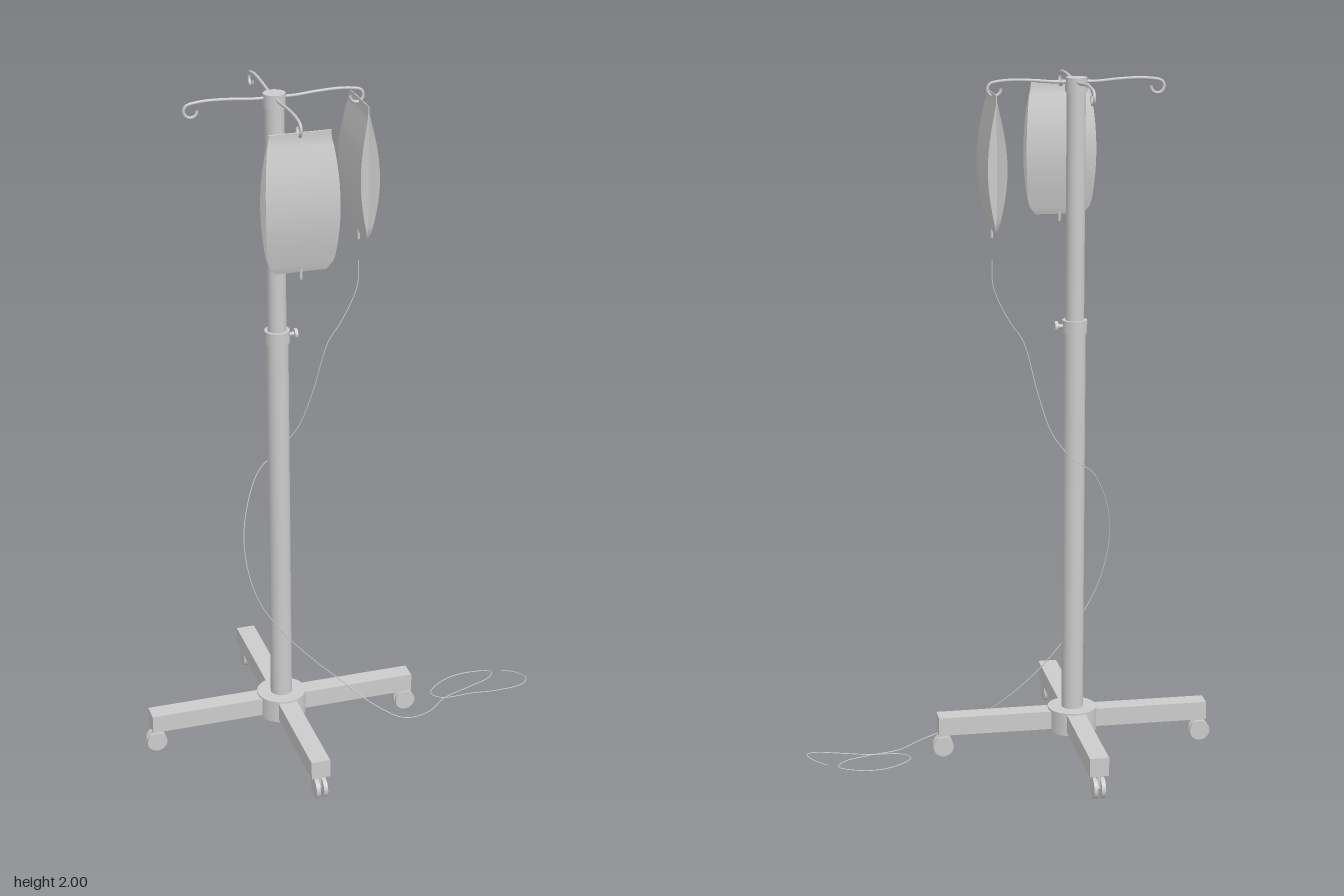
import * as THREE from 'three';
import { toCreasedNormals } from 'three/addons/utils/BufferGeometryUtils.js';

const POLE_X = -0.19;
const grey = new THREE.MeshStandardMaterial({ color: 0xcccccc });
const greyDouble = new THREE.MeshStandardMaterial({ color: 0xcccccc, side: THREE.DoubleSide });

function add(parent, name, geometry, x = 0, y = 0, z = 0, material = grey) {
  const mesh = new THREE.Mesh(geometry, material);
  mesh.name = name;
  mesh.position.set(x, y, z);
  parent.add(mesh);
  return mesh;
}

function column(parent, name, radius, y0, y1, segments = 32) {
  return add(parent, name, new THREE.CylinderGeometry(radius, radius, y1 - y0, segments), 0, (y0 + y1) / 2, 0);
}

function tube(points, segments, radius, sides) {
  const curve = new THREE.CatmullRomCurve3(points.map((p) => new THREE.Vector3(...p)), false, 'centripetal');
  return new THREE.TubeGeometry(curve, segments, radius, sides);
}

// Base leg running along +x with a twin-wheel caster at its end
function makeLeg() {
  const leg = new THREE.Group();
  leg.name = 'baseLeg';
  add(leg, 'legBeam', new THREE.BoxGeometry(0.385, 0.055, 0.056), 0.2125, 0.0975, 0);
  const caster = new THREE.Group();
  caster.name = 'caster';
  caster.position.set(0.39, 0.03, 0);
  leg.add(caster);
  add(caster, 'casterStem', new THREE.CylinderGeometry(0.007, 0.007, 0.045, 12), 0, 0.0225, 0);
  add(caster, 'casterAxle', new THREE.CylinderGeometry(0.006, 0.006, 0.03, 12)).rotation.x = Math.PI / 2;
  for (const side of [-1, 1]) {
    const wheel = new THREE.CylinderGeometry(0.03, 0.03, 0.012, 24).rotateX(Math.PI / 2);
    add(caster, 'casterWheel', wheel, 0, 0, side * 0.011);
  }
  return leg;
}

// Thin arm along +x that ends in a curl
function makeHook() {
  const points = [[0, 1.988, 0], [0.06, 1.988, 0], [0.12, 1.993, 0], [0.19, 1.995, 0]];
  for (let i = 0; i <= 10; i++) {
    const a = Math.PI * (0.45 - 0.148 * i);
    points.push([0.233 + 0.019 * Math.cos(a), 1.971 + 0.019 * Math.sin(a), 0]);
  }
  return tube(points, 72, 0.0045, 8);
}

// Bag lofted from six-sided sections: two panels with folded-in sides
function bagGeometry() {
  const top = 1.942, bottom = 1.578, steps = 20;
  const sections = [[1.965, 0, 0.086, 0.086], [1.964, 0.0015, 0.086, 0.086]]; // y, half depth, panel, seam
  for (let i = 0; i <= steps; i++) {
    const t = i / steps;
    const puff = Math.sin(Math.PI * t);
    const corner = 0.012 * Math.pow(Math.max(0, (t - 0.9) / 0.1), 2);
    sections.push([
      top + (bottom - top) * t,
      0.0015 + 0.026 * puff,
      0.087 + 0.016 * Math.pow(puff, 0.7) - corner,
      0.087 - corner,
    ]);
  }
  sections.push([1.574, 0, 0.07, 0.07]);
  const positions = [], index = [];
  sections.forEach(([y, d, w, n], k) => {
    positions.push(d, y, -w, d, y, w, 0, y, n, -d, y, w, -d, y, -w, 0, y, -n);
    if (k === 0) return;
    for (let j = 0; j < 6; j++) {
      const a = (k - 1) * 6 + j, b = (k - 1) * 6 + ((j + 1) % 6);
      index.push(a, b, a + 6, b, b + 6, a + 6);
    }
  });
  const geometry = new THREE.BufferGeometry();
  geometry.setAttribute('position', new THREE.Float32BufferAttribute(positions, 3));
  geometry.setIndex(index);
  return toCreasedNormals(geometry, 0.5);
}

function makeBag() {
  const bag = new THREE.Group();
  bag.name = 'fluidBag';
  bag.position.x = 0.24;
  add(bag, 'bagBody', bagGeometry(), 0, 0, 0, greyDouble);
  column(bag, 'bagPort', 0.004, 1.553, 1.582, 12);
  add(bag, 'hangingEyelet', new THREE.TorusGeometry(0.007, 0.0015, 6, 20), 0, 1.952, 0).rotation.y = Math.PI / 2;
  return bag;
}

export function createModel() {
  const model = new THREE.Group();
  model.name = 'dripStand';
  const stand = new THREE.Group();
  stand.name = 'stand';
  stand.position.x = POLE_X;
  model.add(stand);

  // Hub and telescopic pole
  column(stand, 'baseHub', 0.073, 0.06, 0.13, 32);
  column(stand, 'lowerPole', 0.032, 0.07, 1.28);
  column(stand, 'poleCollar', 0.036, 1.27, 1.308);
  column(stand, 'upperPole', 0.027, 1.25, 1.97);
  column(stand, 'topCap', 0.031, 1.96, 2.0);

  // Clamp screw on the collar
  add(stand, 'clampScrew', new THREE.CylinderGeometry(0.006, 0.006, 0.025, 12), 0.043, 1.29, 0).rotation.z = Math.PI / 2;
  add(stand, 'clampKnob', new THREE.CylinderGeometry(0.015, 0.015, 0.009, 20), 0.054, 1.29, 0).rotation.z = Math.PI / 2;

  // Four legs and four hooks
  for (let i = 0; i < 4; i++) {
    const turn = (i * Math.PI) / 2;
    const leg = makeLeg();
    leg.rotation.y = turn;
    stand.add(leg);
    add(stand, 'hookArm', makeHook()).rotation.y = turn;
  }

  // Bags on the left and front hooks
  for (const turn of [0, -Math.PI / 2]) {
    const holder = new THREE.Group();
    holder.name = 'bagHolder';
    holder.rotation.y = turn;
    holder.add(makeBag());
    stand.add(holder);
  }

  // Drip line winding round the pole to a loose coil on the floor
  const line = [
    [0.05, 1.49, 0], [0.046, 1.41, 0], [0, 1.31, 0], [-0.04, 1.25, 0], [-0.08, 1.1, -0.015],
    [-0.12, 0.98, -0.035], [-0.18, 0.905, -0.047], [-0.24, 0.86, -0.033], [-0.29, 0.75, 0.002],
    [-0.305, 0.64, 0.032], [-0.275, 0.49, 0.049], [-0.2, 0.36, 0.044], [-0.1, 0.24, 0.039],
    [0, 0.145, 0.055], [0.07, 0.085, 0.09], [0.16, 0.035, 0.117], [0.25, 0.018, 0.085],
    [0.33, 0.016, 0.018], [0.42, 0.018, -0.015], [0.5, 0.018, -0.05], [0.52, 0.016, -0.085],
    [0.44, 0.01, -0.11], [0.36, 0.008, -0.09], [0.3, 0.008, -0.03], [0.325, 0.008, 0.004],
    [0.42, 0.01, 0.01], [0.5, 0.014, 0.024], [0.58, 0.022, 0.025], [0.605, 0.026, 0],
    [0.585, 0.024, -0.045], [0.55, 0.02, -0.075],
  ];
  add(model, 'dripLine', tube(line, 260, 0.0016, 6));
  return model;
}
